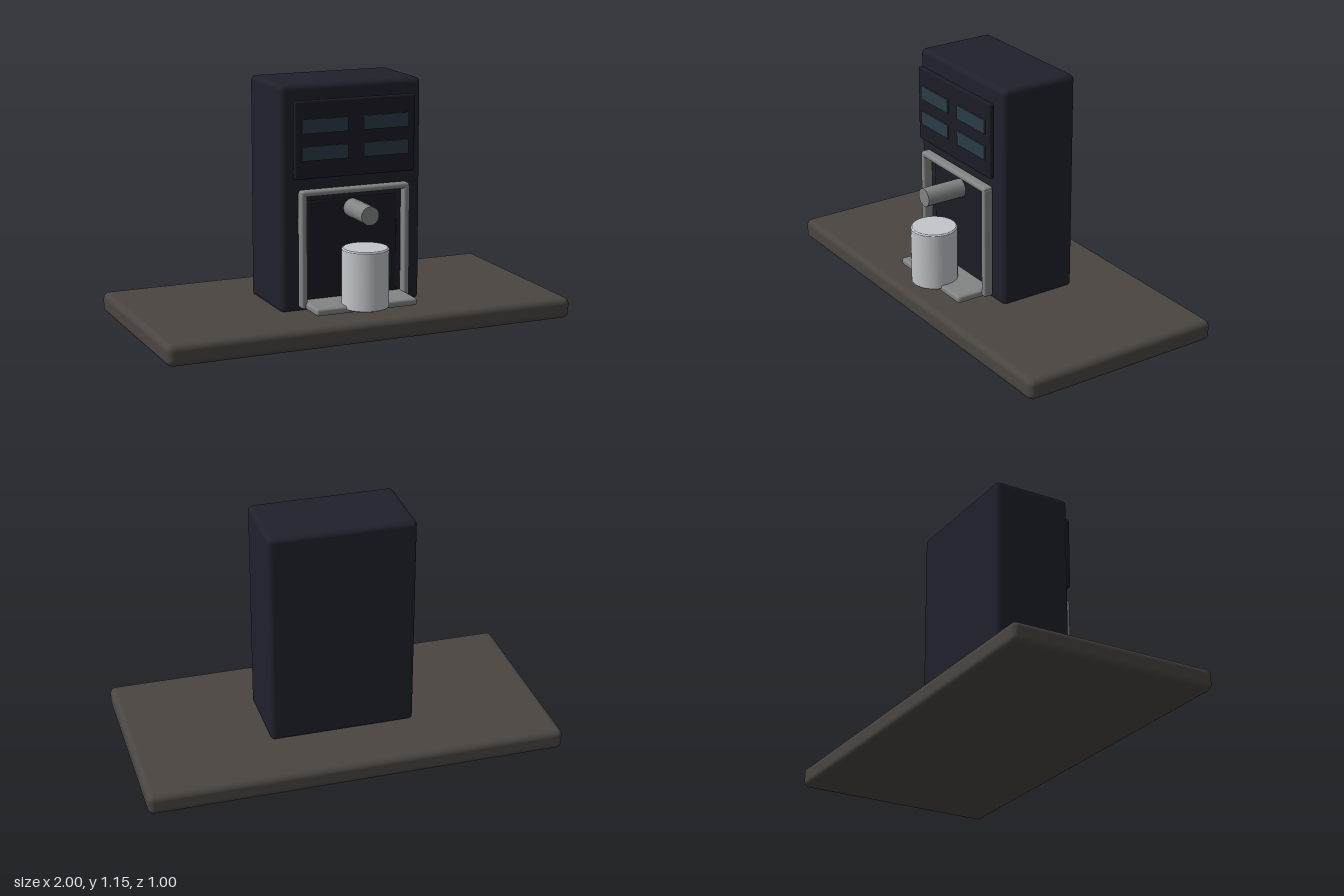
import * as THREE from 'three';
import { RoundedBoxGeometry } from 'three/addons/geometries/RoundedBoxGeometry.js';

const mat = (name, color) => {
  const m = new THREE.MeshStandardMaterial({ color });
  m.name = name;
  return m;
};

export function createModel() {
  const model = new THREE.Group();
  model.name = 'coffeeMachine';

  const stone = mat('counterStone', 0x4a4541);
  const shell = mat('shellNavy', 0x20202c);
  const dark = mat('panelBlack', 0x1b1b25);
  const glass = mat('buttonTeal', 0x2b3c46);
  const steel = mat('steelGrey', 0x838484);
  const ceramic = mat('cupSilver', 0xc2c6ca);

  const add = (name, geometry, material, x, y, z) => {
    const mesh = new THREE.Mesh(geometry, material);
    mesh.name = name;
    mesh.position.set(x, y, z);
    model.add(mesh);
    return mesh;
  };
  // Rounded box given by its extents on each axis
  const block = (name, material, [x0, x1], [y0, y1], [z0, z1], radius) =>
    add(name, new RoundedBoxGeometry(x1 - x0, y1 - y0, z1 - z0, 4, radius), material,
      (x0 + x1) / 2, (y0 + y1) / 2, (z0 + z1) / 2);

  // Counter and machine housing
  block('counter', stone, [-1, 1], [0, 0.1], [-0.5, 0.5], 0.03);
  block('housing', shell, [-0.35, 0.35], [0.09, 1.15], [-0.192, 0.194], 0.025);

  // Control panel standing just off the housing, with four buttons
  block('controlPanel', dark, [-0.3, 0.3], [0.722, 1.082], [0.212, 0.238], 0.01);
  for (const side of [-1, 1]) {
    for (const y of [0.84, 0.965]) {
      add('button', new THREE.BoxGeometry(0.225, 0.066, 0.008), glass, side * 0.152, y, 0.241);
    }
  }

  // Brewing bay: back plate, frame and drip tray
  block('bayPlate', dark, [-0.225, 0.225], [0.12, 0.613], [0.185, 0.201], 0.005);
  for (const side of [-1, 1]) {
    const post = block('framePost', steel, [-0.015, 0.015], [0.12, 0.66], [0.2, 0.25], 0.01);
    post.position.x = side * 0.257;
  }
  block('frameTop', steel, [-0.27, 0.27], [0.642, 0.67], [0.2, 0.25], 0.012);
  block('dripTray', steel, [-0.252, 0.252], [0.116, 0.15], [0.19, 0.38], 0.012);

  // Spout
  const spout = add('spout', new THREE.CylinderGeometry(0.044, 0.044, 0.21, 16), steel, 0, 0.565, 0.297);
  spout.rotation.x = Math.PI / 2;

  // Closed cup with softly bevelled rims
  const profile = [[0, 0.13], [0.104, 0.13], [0.109, 0.135], [0.109, 0.404], [0.103, 0.41], [0, 0.41]];
  const points = [];
  profile.forEach(([r, y], i) => {
    points.push(new THREE.Vector2(r, y));
    // Doubled points beside the bevels keep the flat faces flat
    if (i > 0 && i < profile.length - 1) points.push(new THREE.Vector2(r, y + (i < 3 ? 0.0005 : -0.0005)));
  });
  points.sort((a, b) => a.y - b.y || a.x - b.x);
  const ordered = points.filter((p) => p.x > 0 && p.y < 0.41);
  const cupLine = [new THREE.Vector2(0, 0.13), ...ordered,
    new THREE.Vector2(0.103, 0.41), new THREE.Vector2(0.1, 0.41), new THREE.Vector2(0, 0.41)];
  add('cup', new THREE.LatheGeometry(cupLine, 40), ceramic, 0, 0, 0.35);

  return model;
}
